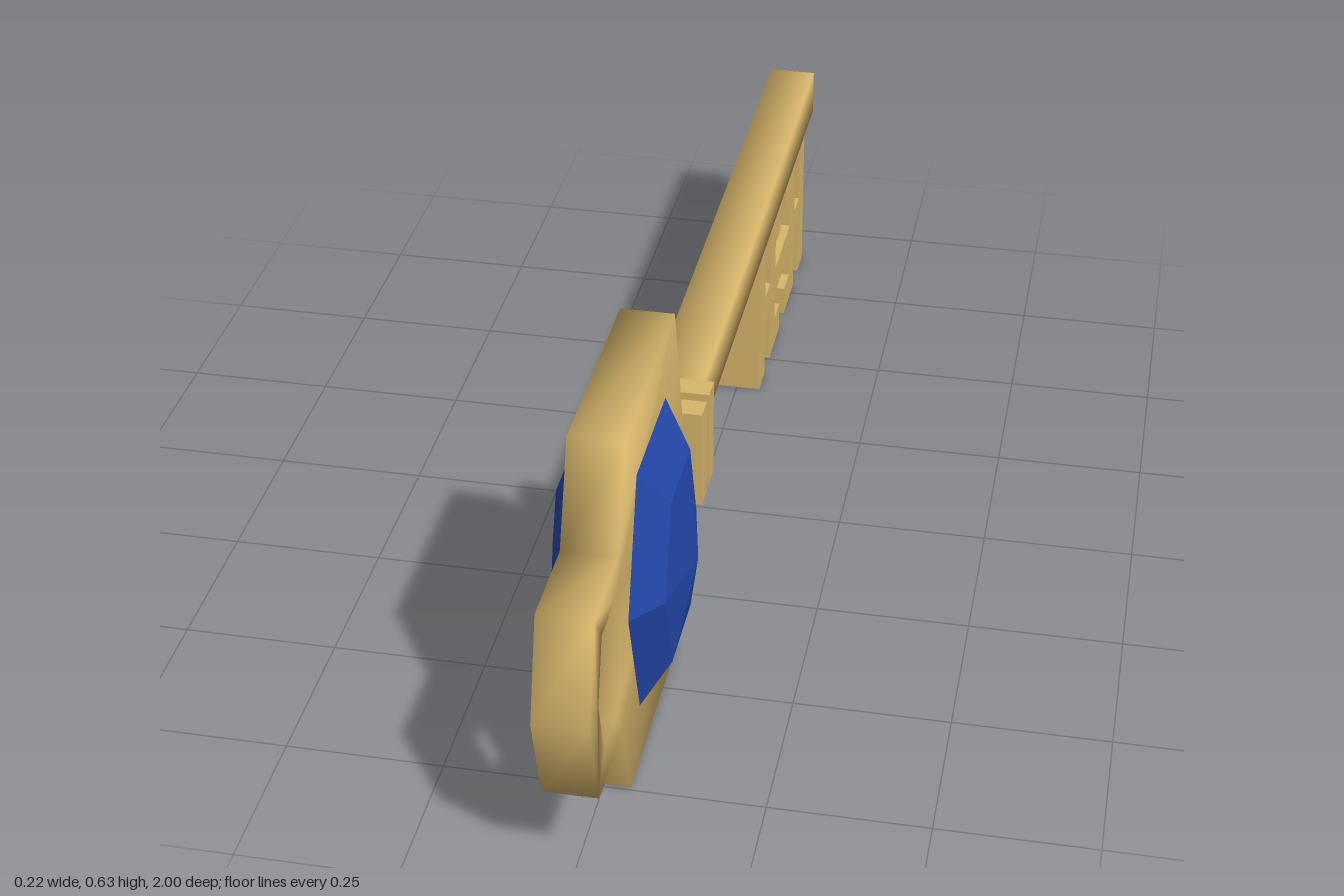
import * as THREE from 'three';
import { mergeVertices } from 'three/addons/utils/BufferGeometryUtils.js';

const MID = 0.315; // height of the key's long axis
const HALF = 0.042; // half thickness of the body

// Shares normals across edges for a soft, pillowy shading
function soften(geometry) {
  geometry.deleteAttribute('uv');
  geometry.deleteAttribute('normal');
  const merged = mergeVertices(geometry, 1e-4);
  merged.computeVertexNormals();
  return merged;
}

// Mirrors the upper half of an outline [z, height above axis] to its lower half
function mirrored(upper) {
  const lower = upper.filter(p => p[1] > 0).map(p => [p[0], -p[1]]).reverse();
  return [...upper, ...lower].map(p => new THREE.Vector2(p[0], p[1]));
}

// Faceted stone: hexagonal girdle, inner ring and apex, on one side of the bow
function gemGeometry(side) {
  const hexagon = [[0.174, 0], [0.104, 0.211], [-0.104, 0.211],
    [-0.174, 0], [-0.104, -0.211], [0.104, -0.211]];
  const rings = [[HALF - 0.01, 1], [HALF, 1], [0.086, 0.69], [0.112, 0]];
  const point = (r, i) => {
    const [x, s] = rings[r], [z, y] = hexagon[i % 6];
    return [side * x, y * s, z * s];
  };
  const positions = [];
  const triangle = (a, b, c) => positions.push(...a, ...(side > 0 ? [...c, ...b] : [...b, ...c]));
  for (let r = 0; r < 3; r++) {
    for (let i = 0; i < 6; i++) {
      const a = point(r, i), b = point(r, i + 1), c = point(r + 1, i + 1), d = point(r + 1, i);
      triangle(a, b, c);
      if (r < 2) triangle(a, c, d);
    }
  }
  const geometry = new THREE.BufferGeometry();
  geometry.setAttribute('position', new THREE.Float32BufferAttribute(positions, 3));
  geometry.computeVertexNormals();
  return geometry;
}

export function createModel() {
  const key = new THREE.Group();
  key.name = 'key';
  const gold = new THREE.MeshStandardMaterial({ color: 0xd9b76c });
  const blue = new THREE.MeshStandardMaterial({ color: 0x2247a8, flatShading: true });

  function add(name, geometry, material, x, y, z, parent = key) {
    const mesh = new THREE.Mesh(geometry, material);
    mesh.name = name;
    mesh.position.set(x, y, z);
    parent.add(mesh);
    return mesh;
  }

  // Bow: hexagonal head and pierced hanging loop in one plate
  const outline = new THREE.Shape(mirrored([[1, 0], [0.955, 0.157], [0.805, 0.157],
    [0.746, 0.313], [0.393, 0.313], [0.313, 0]]));
  outline.holes.push(new THREE.Path(mirrored([[0.945, 0], [0.915, 0.103], [0.832, 0.103], [0.8, 0]])));
  const bow = new THREE.ExtrudeGeometry(outline, { depth: 2 * HALF, bevelEnabled: false });
  bow.translate(0, 0, -HALF).rotateY(-Math.PI / 2);
  add('bow', soften(bow), gold, 0, MID, 0);

  // Stone showing on both faces
  add('leftGem', gemGeometry(1), blue, 0, MID, 0.572);
  add('rightGem', gemGeometry(-1), blue, 0, MID, 0.572);

  // Square shaft and its two collars
  add('shaft', soften(new THREE.BoxGeometry(2 * HALF, 2 * HALF, 1.33)), gold, 0, MID, -0.335);
  for (const z of [0.236, 0.296]) {
    add('collar', new THREE.BoxGeometry(0.138, 0.17, 0.04), gold, 0, MID, z);
  }

  // Bit: teeth laid out on a grid of 9 columns by 5 rows below the shaft
  const bit = new THREE.Group();
  bit.name = 'bit';
  key.add(bit);
  const cw = 0.5 / 9, ch = (MID - HALF) / 5;
  function block(name, column, row, columns, rows) {
    add(name, new THREE.BoxGeometry(2 * HALF, rows * ch, columns * cw), gold,
      0, (row + rows / 2) * ch, -0.393 - (column + columns / 2) * cw, bit);
  }
  for (const column of [0, 2, 6, 8]) block('tooth', column, 0, 1, 5);
  for (const column of [3, 5]) {
    for (const row of [0, 4]) block('toothTip', column, row, 1, 1);
  }
  for (const [column, length] of [[1, 1], [3, 3], [7, 1]]) block('crossbar', column, 2, length, 1);

  return key;
}
